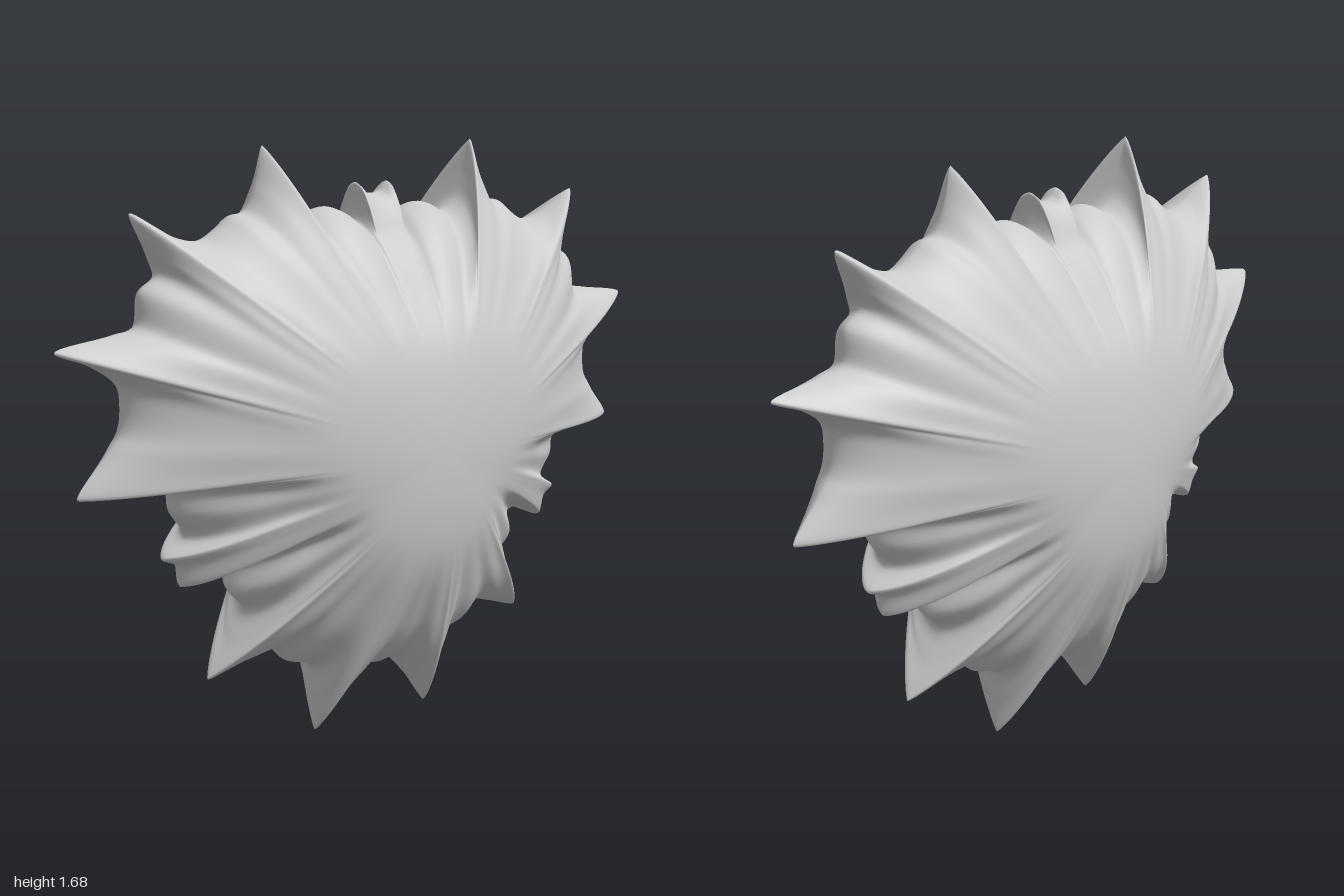
import * as THREE from 'three';
import { mergeVertices } from 'three/addons/utils/BufferGeometryUtils.js';

const CENTRE_Y = 0.85, DEPTH = 0.325, RINGS = 32;
const TAB_BASE = 1.475 - CENTRE_Y;
const { smoothstep, lerp, clamp } = THREE.MathUtils;

// Half of the spiky rim, from the top notch round to the bottom (x, y)
const HALF_RIM = [
  [0, 1.54], [0.03, 1.545], [0.055, 1.572], [0.054, 1.52], [0.068, 1.465], [0.1, 1.49], [0.16, 1.51],
  [0.21, 1.5], [0.25, 1.48], [0.3, 1.51], [0.335, 1.585], [0.365, 1.68], [0.388, 1.59], [0.425, 1.51],
  [0.47, 1.5], [0.51, 1.47], [0.57, 1.44], [0.65, 1.455], [0.775, 1.52], [0.73, 1.43], [0.7, 1.36],
  [0.75, 1.32], [0.765, 1.23], [0.83, 1.215], [1, 1.185], [0.9, 1.14], [0.82, 1.08], [0.81, 1.03],
  [0.82, 0.96], [0.86, 0.91], [0.95, 0.8], [0.86, 0.805], [0.75, 0.815], [0.68, 0.78], [0.67, 0.72],
  [0.63, 0.65], [0.705, 0.6], [0.66, 0.575], [0.65, 0.515], [0.57, 0.555], [0.48, 0.55], [0.49, 0.47],
  [0.44, 0.41], [0.49, 0.33], [0.57, 0.235], [0.46, 0.265], [0.37, 0.285], [0.31, 0.235], [0.22, 0.2],
  [0.212, 0.1], [0.205, 0], [0.14, 0.09], [0.06, 0.168], [0, 0.165],
];

// Closed rim, mirrored and smoothly subdivided, relative to the centre
function makeRim() {
  const mirrored = HALF_RIM.slice(1, -1).reverse().map(([x, y]) => [-x, y]);
  const corners = [...HALF_RIM, ...mirrored].map(([x, y]) => new THREE.Vector3(x, y - CENTRE_Y, 0));
  const curve = new THREE.CatmullRomCurve3(corners, true, 'centripetal');
  const rim = [];
  corners.forEach((p, i) => {
    const next = corners[(i + 1) % corners.length];
    const n = Math.max(2, Math.round(p.distanceTo(next) / 0.013));
    for (let k = 0; k < n; k++) {
      const q = curve.getPoint((i + k / n) / corners.length);
      rim.push(new THREE.Vector2(q.x, q.y));
    }
  });
  return rim;
}

// Rounded body outline: averaged direction and averaged radius for each rim point
function makeBody(rim) {
  const reach = 16;
  return rim.map((_, i) => {
    const direction = new THREE.Vector2();
    for (let k = -reach; k <= reach; k++) {
      const p = rim[(i + k + rim.length) % rim.length];
      direction.addScaledVector(p, (1 - Math.abs(k) / (reach + 1)) / p.length());
    }
    direction.normalize();
    let sum = 0, total = 0;
    for (const p of rim) {
      const d = Math.acos(clamp(p.dot(direction) / p.length(), -1, 1));
      const w = Math.exp(-d * d / 0.12);
      sum += w * p.length();
      total += w;
    }
    return direction.multiplyScalar(sum / total);
  });
}

// Half thickness at a fraction of the way from the centre to an edge
const dome = (t, bend, power) => DEPTH * Math.pow(Math.max(0, 1 - Math.pow(t, bend)), power);

function makeShellGeometry() {
  const rim = makeRim();
  const body = makeBody(rim);
  const count = rim.length;
  const positions = [], index = [];

  // Rings run from the front pole over the rim to the back pole
  for (let j = 0; j <= 2 * RINGS; j++) {
    const s = Math.sin((1 - Math.abs(j - RINGS) / RINGS) * Math.PI / 2);
    const spread = smoothstep(s, 0.36, 1);
    rim.forEach((rimPoint, i) => {
      // The top tab only rises close to the rim
      const p = rimPoint.clone();
      if (Math.abs(p.x) < 0.08 && p.y > TAB_BASE) p.y = lerp(TAB_BASE, p.y, smoothstep(s, 0.92, 0.985));
      const q = body[i].clone().lerp(p, spread).multiplyScalar(s);
      // Spikes taper to a point, hollows sink between them and end in a blunt rim
      const spike = smoothstep(p.length() / body[i].length(), 0.92, 1.2);
      const edge = dome(q.length() / p.length(), 1.7, lerp(0.58, 0.9, spike));
      const z = lerp(dome(s, 2.2, 0.78), edge, smoothstep(s, 0.35, 0.7));
      positions.push(q.x, q.y + CENTRE_Y, j <= RINGS ? z : -z);
    });
  }
  // Quads between rings, single triangles at the two poles
  for (let j = 0; j < 2 * RINGS; j++) {
    for (let i = 0; i < count; i++) {
      const a = j * count + i, b = j * count + (i + 1) % count;
      const c = a + count, d = b + count;
      if (j > 0) index.push(a, b, c);
      if (j < 2 * RINGS - 1) index.push(b, d, c);
    }
  }
  const geometry = new THREE.BufferGeometry();
  geometry.setAttribute('position', new THREE.Float32BufferAttribute(positions, 3));
  geometry.setIndex(index);
  const merged = mergeVertices(geometry, 1e-5);
  merged.computeVertexNormals();
  return merged;
}

export function createModel() {
  const group = new THREE.Group();
  group.name = 'spikyShell';
  const material = new THREE.MeshStandardMaterial({ color: 0xcccccc, roughness: 0.8 });
  const shell = new THREE.Mesh(makeShellGeometry(), material);
  shell.name = 'spikedBody';
  group.add(shell);
  return group;
}
